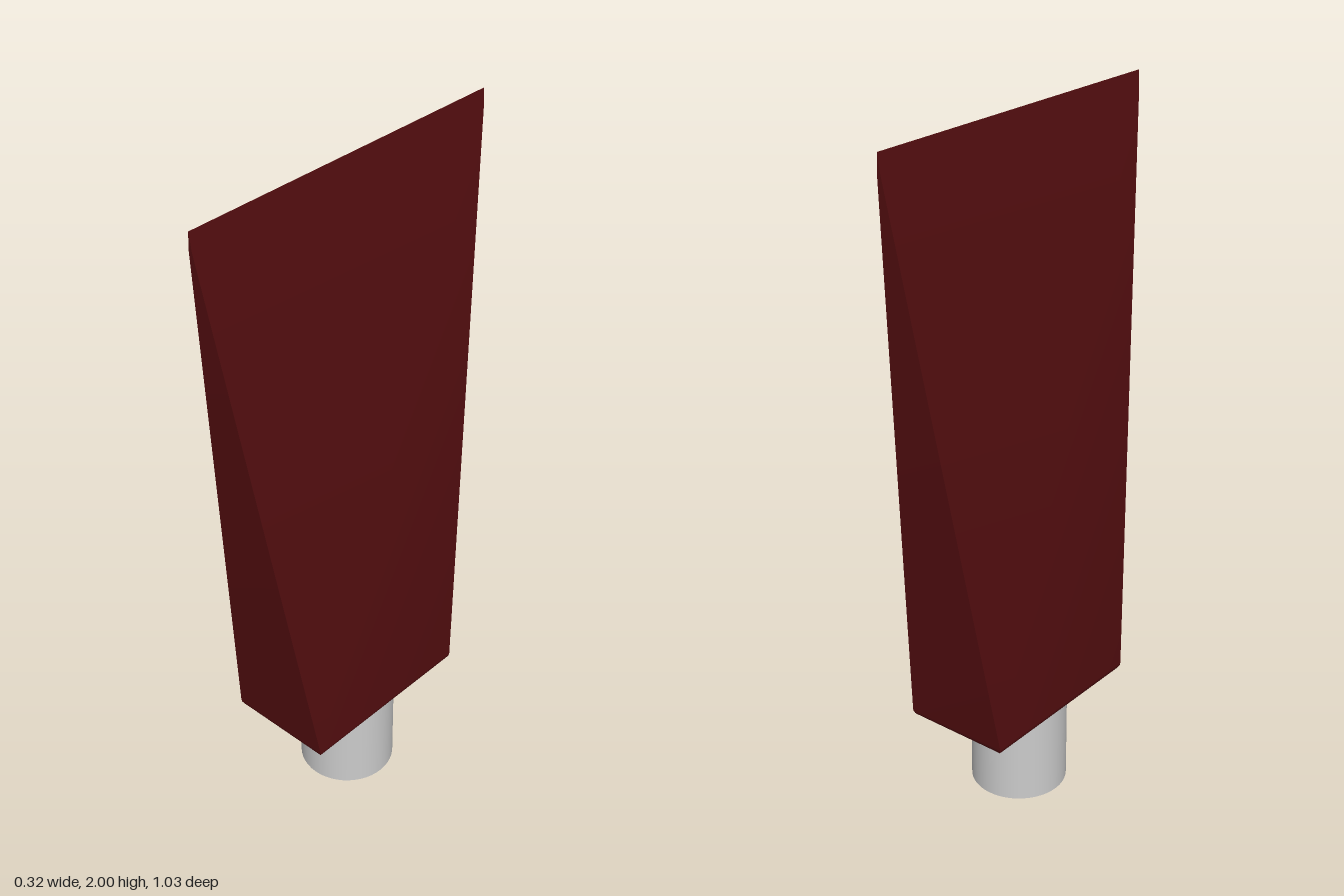
import * as THREE from 'three';
import { toCreasedNormals } from 'three/addons/utils/BufferGeometryUtils.js';

// Loft rectangular sections [y, halfX, halfZ], listed from bottom to top, with end caps.
function loftRectangles(sections) {
  const positions = [];
  const index = [];
  for (const [y, hx, hz] of sections) {
    positions.push(hx, y, hz, hx, y, -hz, -hx, y, -hz, -hx, y, hz);
  }
  for (let s = 0; s < sections.length - 1; s++) {
    for (let i = 0; i < 4; i++) {
      const a = s * 4 + i;
      const b = s * 4 + (i + 1) % 4;
      index.push(a, b, b + 4, a, b + 4, a + 4);
    }
  }
  const t = (sections.length - 1) * 4;
  index.push(0, 2, 1, 0, 3, 2, t, t + 1, t + 2, t, t + 2, t + 3);
  const geometry = new THREE.BufferGeometry();
  geometry.setAttribute('position', new THREE.Float32BufferAttribute(positions, 3));
  geometry.setIndex(index);
  return toCreasedNormals(geometry, 0.6);
}

export function createModel() {
  const model = new THREE.Group();
  const red = new THREE.MeshStandardMaterial({ color: 0x550e10 });
  const grey = new THREE.MeshStandardMaterial({ color: 0xcccccc });

  // Wedge blade: rounded lower rim, then widening in z while thinning to an edge
  const sections = [];
  const bevel = 0.025;
  const steps = 5;
  for (let i = 0; i <= steps; i++) {
    const a = (i / steps) * Math.PI / 2;
    const inset = bevel * (1 - Math.sin(a));
    sections.push([0.275 + bevel * (1 - Math.cos(a)), 0.16 - inset, 0.283 - inset]);
  }
  sections.push([1.95, 0.005, 0.513], [2, 0.0005, 0.515]);
  const blade = new THREE.Mesh(loftRectangles(sections), red);
  blade.name = 'wedgeBlade';
  model.add(blade);

  // Round peg under the blade
  const peg = new THREE.Mesh(new THREE.CylinderGeometry(0.14, 0.14, 0.28, 48), grey);
  peg.position.y = 0.14;
  peg.name = 'peg';
  model.add(peg);

  return model;
}
